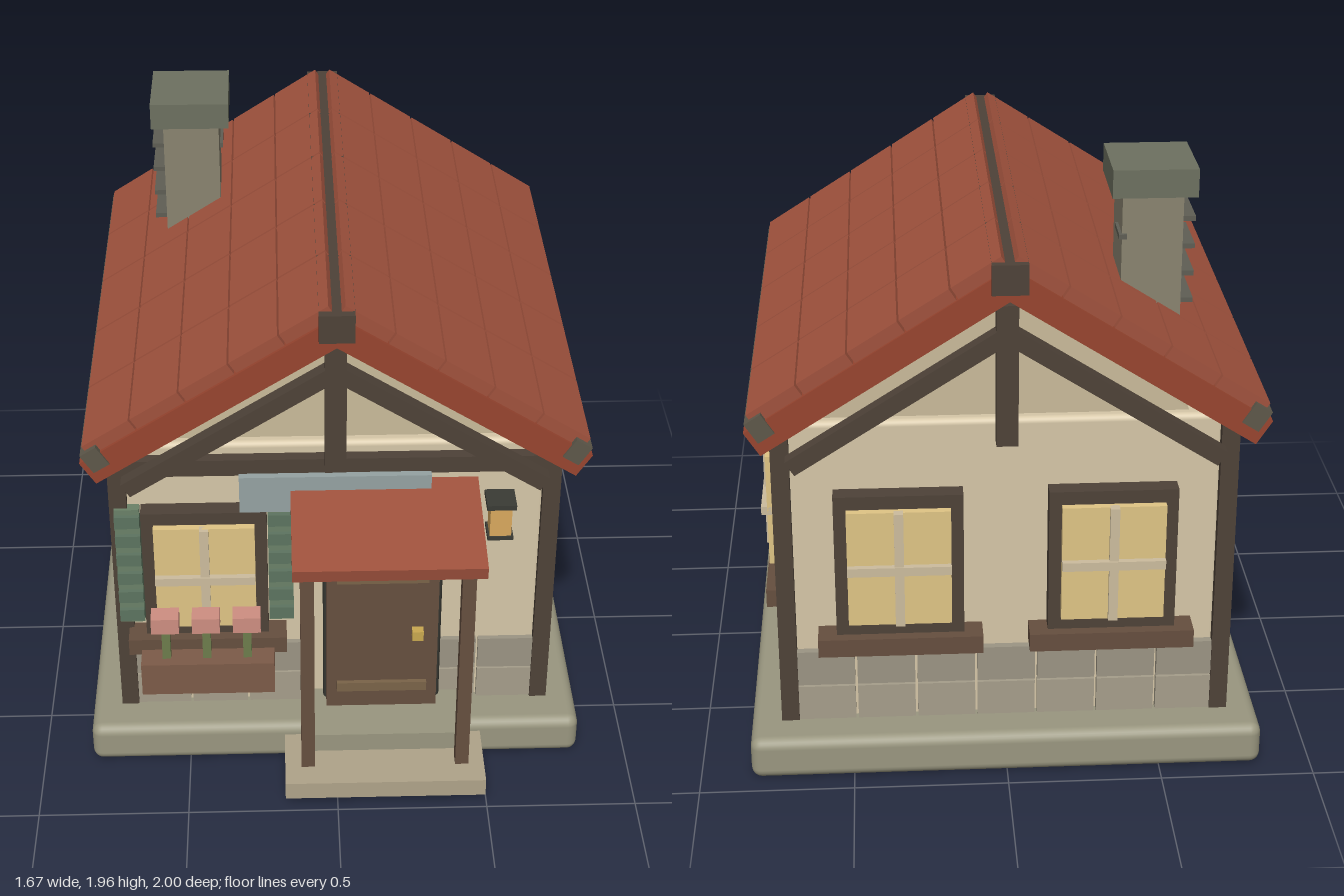
import * as THREE from 'three';
import { RoundedBoxGeometry } from 'three/addons/geometries/RoundedBoxGeometry.js';

const mats = {};
const mat = (c) => (mats[c] ??= new THREE.MeshStandardMaterial({ color: c }));

const C = {
  stone: 0x9a9780, wall: 0xd6c7a8, gable: 0xcabb9a, timber: 0x4e4238, wood: 0x664f3f,
  tile: 0xa0523d, slab: 0x98452f, eave: 0x5e584a, block: 0xa69e8b, step: 0xb0a48a,
  glass: 0xe0c585, cream: 0xcdbd9e, green: 0x6b8268, iron: 0x3a3b35, brass: 0xc9a850,
};

// Box given by its min and max corners; r rounds the edges
function box(parent, name, color, [x0, x1], [y0, y1], [z0, z1], r = 0) {
  const s = [x1 - x0, y1 - y0, z1 - z0];
  const geo = r ? new RoundedBoxGeometry(...s, 3, r) : new THREE.BoxGeometry(...s);
  const m = new THREE.Mesh(geo, mat(color));
  m.name = name;
  m.position.set((x0 + x1) / 2, (y0 + y1) / 2, (z0 + z1) / 2);
  parent.add(m);
  return m;
}

function group(parent, name) {
  const g = new THREE.Group();
  g.name = name;
  parent.add(g);
  return g;
}

// Window facing local +z with the wall surface at z = 0
function addWindow(parent, name, x, z, turn) {
  const g = group(parent, name);
  g.position.set(x, 0, z);
  g.rotation.y = turn;
  box(g, 'windowFrame', C.timber, [-0.205, 0.205], [0.48, 0.975], [-0.02, 0.06]);
  box(g, 'windowGlass', C.glass, [-0.165, 0.165], [0.53, 0.93], [0.05, 0.085]);
  box(g, 'verticalMuntin', C.cream, [-0.015, 0.015], [0.53, 0.93], [0.07, 0.1]);
  box(g, 'horizontalMuntin', C.cream, [-0.165, 0.165], [0.715, 0.745], [0.07, 0.105]);
  box(g, 'windowSill', C.wood, [-0.265, 0.265], [0.42, 0.482], [-0.02, 0.095]);
  return g;
}

function addRoof(parent) {
  const roof = group(parent, 'roof');
  const zc = -0.1025;
  for (const s of [1, -1]) {
    const side = group(roof, s > 0 ? 'leftRoofSide' : 'rightRoofSide');
    side.position.set(0, 1.78, zc);
    side.rotation.z = -s * Math.atan(0.64);
    // u runs down the slope from the ridge
    const part = (name, color, u0, u1, y, z) =>
      box(side, name, color, s > 0 ? [u0, u1] : [-u1, -u0], y, z);
    part('roofSlab', C.slab, 0, 0.95, [-0.09, 0], [-0.88, 0.88]);
    part('eaveBeam', C.eave, 0.87, 0.93, [-0.05, 0.025], [-0.887, 0.887]);
    for (let i = 0; i < 5; i++)
      for (let j = 0; j < 5; j++) {
        const u = 0.004 + i * 0.183, z = -0.871 + j * 0.35;
        part('roofTile', C.tile, u, u + 0.176, [-0.005, 0.042], [z, z + 0.34]);
      }
  }
  box(roof, 'ridgeBeam', C.timber, [-0.055, 0.055], [1.7, 1.795], [-1, 0.795]);
}

// King post with two sloping braces
function addTruss(parent, name, z) {
  const g = group(parent, name);
  box(g, 'kingPost', C.timber, [-0.034, 0.034], [1.155, 1.62], [z - 0.03, z + 0.03]);
  for (const s of [1, -1]) {
    const b = box(g, 'brace', C.timber, [-0.395, 0.395], [-0.027, 0.027], [-0.025, 0.025]);
    b.position.set(s * 0.34, 1.305, z);
    b.rotation.z = -s * 0.57;
  }
}

function addChimney(parent) {
  const g = group(parent, 'chimney');
  box(g, 'chimneyShaft', 0x8a8470, [-0.56, -0.37], [1.15, 1.89], [-0.61, -0.385]);
  box(g, 'chimneyCap', 0x6d7160, [-0.6, -0.335], [1.87, 1.96], [-0.64, -0.355]);
  for (let i = 0; i < 7; i++) {
    const y = 1.24 + i * 0.09;
    box(g, 'chimneyBrick', 0x5f5e54, [-0.6, -0.555], [y, y + 0.016], [-0.6, -0.4]);
    if (i % 2) box(g, 'chimneyBrick', 0x5f5e54, [-0.385, -0.36], [y + 0.04, y + 0.056], [-0.62, -0.5]);
  }
}

// Two courses of stone along a wall, leaving the doorway free
function addStones(parent, name, z, skip) {
  const g = group(parent, name);
  for (let row = 0; row < 2; row++)
    for (let i = 0; i < 7; i++) {
      const x = -0.685 + i * 0.196;
      if (skip && i > 2 && i < 5) continue;
      const y = 0.145 + row * 0.13;
      box(g, 'stoneBlock', row ? 0x9c9584 : C.block, [x, x + 0.188], [y, y + 0.123], [z - 0.02, z + 0.02]);
    }
}

function addPorch(parent) {
  const g = group(parent, 'porch');
  box(g, 'lowerStep', C.step, [-0.175, 0.495], [0.04, 0.105], [0.7, 0.985]);
  box(g, 'upperStep', C.stone, [-0.11, 0.43], [0.105, 0.175], [0.56, 0.825]);
  for (const x of [-0.12, 0.397])
    box(g, 'porchPost', C.wood, [x, x + 0.045], [0.1, 0.97], [0.855, 0.903]);
  const roof = box(g, 'porchRoof', C.tile, [-0.145, 0.465], [-0.023, 0.023], [-0.205, 0.205]);
  roof.position.set(0.16, 1.015, 0.797);
  roof.rotation.x = 0.165;
  box(g, 'nameBoard', 0x95a3a3, [-0.31, 0.31], [0.98, 1.115], [0.58, 0.65]);
}

function addDoor(parent) {
  const g = group(parent, 'door');
  box(g, 'doorFrame', C.iron, [-0.04, 0.36], [0.14, 0.885], [0.54, 0.635], 0.025);
  box(g, 'doorPanel', C.wood, [-0.03, 0.345], [0.175, 0.86], [0.62, 0.675]);
  for (const y of [0.25, 0.71])
    box(g, 'doorStrap', 0x7a6448, [0.005, 0.31], [y, y + 0.036], [0.67, 0.69]);
  box(g, 'doorKnob', C.brass, [0.257, 0.295], [0.478, 0.515], [0.67, 0.705]);
}

function addFrontWindowTrim(parent) {
  // Louvred shutters
  for (const x of [-0.72, -0.22]) {
    const g = group(parent, 'shutter');
    box(g, 'shutterPanel', C.green, [x, x + 0.082], [0.515, 0.975], [0.58, 0.62]);
    for (let i = 0; i < 6; i++)
      box(g, 'shutterSlat', 0x5d7460, [x, x + 0.082], [0.53 + i * 0.076, 0.575 + i * 0.076], [0.615, 0.635]);
  }
  // Planter with three flowers
  const p = group(parent, 'planter');
  box(p, 'planterBox', 0x7d5b48, [-0.65, -0.205], [0.315, 0.44], [0.6, 0.762]);
  for (const x of [-0.565, -0.43, -0.295]) {
    box(p, 'flowerStem', 0x6d7d4c, [x - 0.014, x + 0.014], [0.43, 0.57], [0.7, 0.728]);
    box(p, 'blossom', 0xcf8f82, [x - 0.046, x + 0.046], [0.562, 0.622], [0.685, 0.75]);
  }
}

function addLantern(parent) {
  const g = group(parent, 'lantern');
  box(g, 'lanternGlow', 0xd9a95e, [0.5, 0.57], [0.9, 1.015], [0.625, 0.695]);
  box(g, 'lanternTop', C.iron, [0.487, 0.583], [1.01, 1.028], [0.61, 0.705]);
  box(g, 'lanternBase', C.iron, [0.493, 0.577], [0.888, 0.902], [0.615, 0.7]);
  box(g, 'lanternArm', C.iron, [0.52, 0.55], [0.98, 1.01], [0.57, 0.63]);
}

export function createModel() {
  const model = new THREE.Group();
  model.name = 'cottage';

  // Body
  box(model, 'foundation', C.stone, [-0.835, 0.835], [0, 0.145], [-0.94, 0.74], 0.035);
  box(model, 'walls', C.wall, [-0.69, 0.69], [0.1, 1.207], [-0.785, 0.585], 0.02);
  const tri = new THREE.Shape([[-0.6, 1.19], [0.6, 1.19], [0, 1.685]].map((p) => new THREE.Vector2(...p)));
  const gable = new THREE.Mesh(new THREE.ExtrudeGeometry(tri, { depth: 1.3, bevelEnabled: false }), mat(C.gable));
  gable.name = 'gable';
  gable.position.z = -0.75;
  model.add(gable);

  // Timber framing
  for (const x of [-0.735, 0.677])
    for (const z of [-0.815, 0.55])
      box(model, 'cornerPost', C.timber, [x, x + 0.058], [0.14, 1.23], [z, z + 0.06]);
  for (const z of [-0.69, 0.25])
    box(model, 'sideStud', C.timber, [-0.722, -0.68], [0.16, 1.2], [z, z + 0.06]);
  box(model, 'frontBeam', C.timber, [-0.69, 0.69], [1.108, 1.167], [0.56, 0.625]);
  addTruss(model, 'frontTruss', 0.655);
  addTruss(model, 'backTruss', -0.85);

  addStones(model, 'frontStones', 0.583, true);
  addStones(model, 'backStones', -0.79, false);
  addRoof(model);
  addChimney(model);

  // Openings
  addWindow(model, 'frontWindow', -0.428, 0.585, 0);
  addWindow(model, 'sideWindow', 0.69, -0.28, Math.PI / 2);
  for (const x of [-0.34, 0.34]) addWindow(model, 'backWindow', x, -0.785, Math.PI);
  addDoor(model);
  addPorch(model);
  addFrontWindowTrim(model);
  addLantern(model);
  return model;
}
